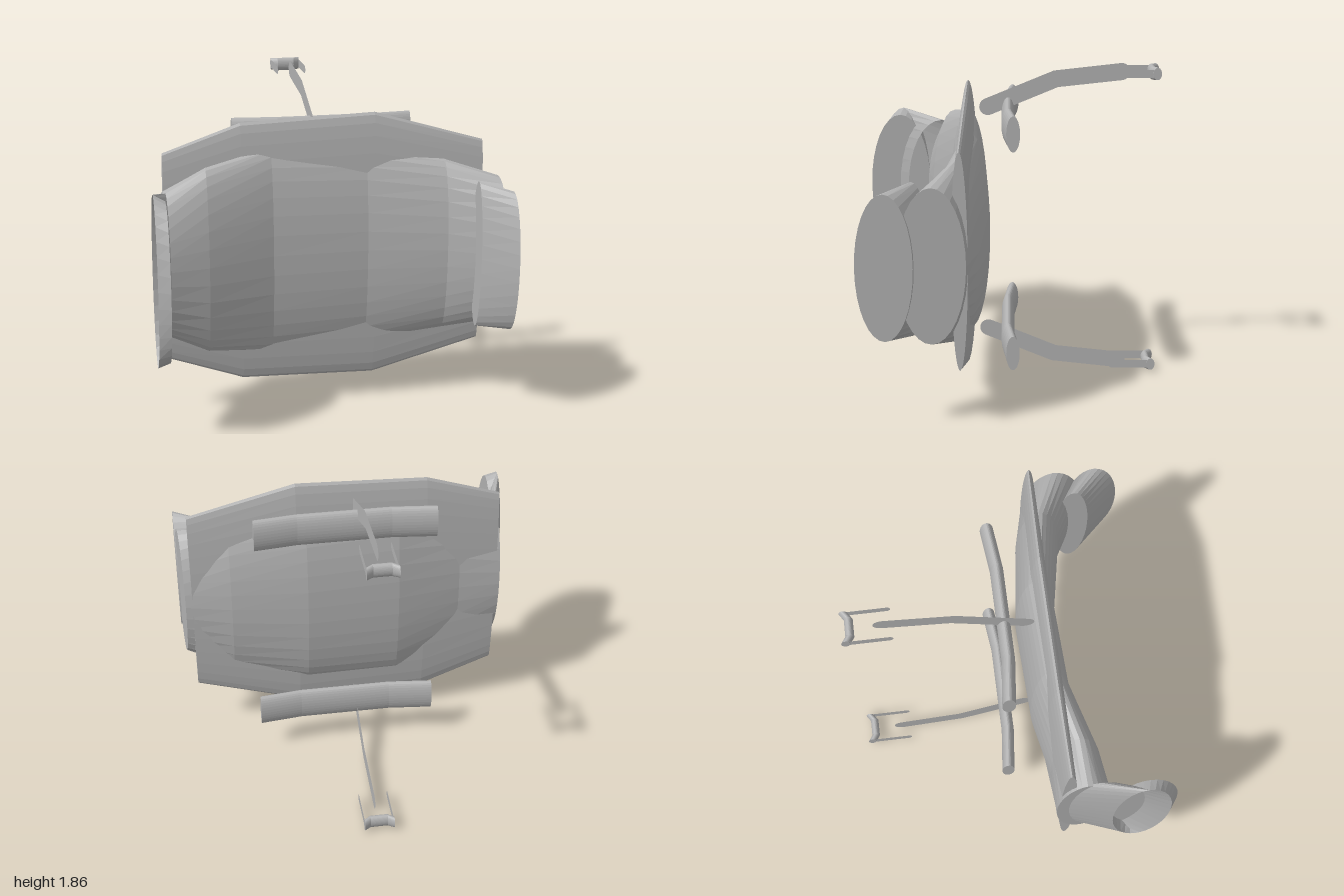
import * as THREE from 'three';

const MID = 0.93; // height of the horizontal mirror plane
const SIDES = 32;

// Loft of elliptical sections along x: [x, y, z, ry, rz, tilt]
function loft(sections, capStart = true, capEnd = true) {
  const pos = [], index = [];
  for (const [x, y, z, ry, rz, tilt = 0] of sections) {
    for (let j = 0; j < SIDES; j++) {
      const t = (j / SIDES) * Math.PI * 2;
      pos.push(x + tilt * Math.cos(t), y + ry * Math.sin(t), z + rz * Math.cos(t));
    }
  }
  for (let i = 0; i < sections.length - 1; i++) {
    for (let j = 0; j < SIDES; j++) {
      const k = (j + 1) % SIDES, a = i * SIDES, b = a + SIDES;
      index.push(a + j, b + j, b + k, a + j, b + k, a + k);
    }
  }
  const cap = (row, flip) => {
    const c = pos.length / 3, s = sections[row];
    pos.push(s[0], s[1], s[2]);
    for (let j = 0; j < SIDES; j++) {
      const p = row * SIDES + j, q = row * SIDES + ((j + 1) % SIDES);
      index.push(c, flip ? q : p, flip ? p : q);
    }
  };
  if (capStart) cap(0, false);
  if (capEnd) cap(sections.length - 1, true);
  const g = new THREE.BufferGeometry();
  g.setAttribute('position', new THREE.Float32BufferAttribute(pos, 3));
  g.setIndex(index);
  const flat = g.toNonIndexed();
  flat.computeVertexNormals();
  return flat;
}

// Flat round-ended strip in the side plane; path points are [z, y]
function strip(path, r) {
  const pts = path.map(([z, y]) => new THREE.Vector2(-z, y));
  const n = pts.length;
  const angle = (i) => {
    const a = pts[Math.max(i - 1, 0)], b = pts[Math.min(i + 1, n - 1)];
    return Math.atan2(b.y - a.y, b.x - a.x);
  };
  const out = [];
  const put = (i, a) => out.push(new THREE.Vector2(pts[i].x + r * Math.cos(a), pts[i].y + r * Math.sin(a)));
  const arc = (i, from) => {
    for (let k = 0; k <= 10; k++) put(i, from - (k / 10) * Math.PI);
  };
  for (let i = 1; i < n - 1; i++) put(i, angle(i) + Math.PI / 2);
  arc(n - 1, angle(n - 1) + Math.PI / 2);
  for (let i = n - 2; i > 0; i--) put(i, angle(i) - Math.PI / 2);
  arc(0, angle(0) - Math.PI / 2);
  return new THREE.ShapeGeometry(new THREE.Shape(out)).rotateY(Math.PI / 2);
}

export function createModel() {
  const model = new THREE.Group();
  const grey = new THREE.MeshStandardMaterial({ color: 0xb2b2b2, side: THREE.DoubleSide });
  grey.name = 'grey';
  const add = (name, geometry, x = 0) => {
    const m = new THREE.Mesh(geometry, grey);
    m.name = name;
    m.position.x = x;
    model.add(m);
  };

  // Curved main shell, thin in depth
  add('mainShell', loft([
    [-0.92, 0.925, 0.35, 0.42, 0.16, 0.01],
    [-0.68, 0.925, 0.33, 0.54, 0.14],
    [-0.3, 0.935, 0.235, 0.605, 0.115],
    [0.25, 0.93, 0.215, 0.58, 0.115],
    [0.7, 0.93, 0.285, 0.51, 0.13],
    [0.985, 0.93, 0.405, 0.43, 0.185, 0.014],
  ]));

  // Broad lens-shaped plate behind the shell
  add('backPlate', loft([
    [-0.91, 0.935, 0.257, 0.605, 0.045],
    [-0.47, 0.93, 0.24, 0.76, 0.06],
    [0.3, 0.935, 0.235, 0.785, 0.063],
    [0.93, 0.935, 0.257, 0.605, 0.045],
  ]));

  // Flared open collar on the -x end, with its rim
  add('rightCollar', loft([
    [-1, 0.93, 0.67, 0.49, 0.165],
    [-0.91, 0.925, 0.425, 0.43, 0.215],
  ], false, false));
  add('rightCollarRim', loft([
    [-1, 0.93, 0.67, 0.49, 0.165],
    [-0.935, 0.93, 0.69, 0.455, 0.19],
  ], false, true));

  // Slanted end piece on the +x end
  add('leftEndPiece', loft([
    [0.84, 0.93, 0.515, 0.43, 0.1],
    [1, 0.925, 0.655, 0.405, 0.155],
  ]));

  // Upper and lower rods, arms and grips
  for (const [s, side] of [[1, 'upper'], [-1, 'lower']]) {
    const y = (v) => MID + s * v;
    add(side + 'Rod', loft([
      [-0.48, y(0.63), -0.03, 0.1, 0.038],
      [-0.22, y(0.63), -0.003, 0.1, 0.038],
      [0.32, y(0.63), -0.003, 0.1, 0.038],
      [0.57, y(0.63), -0.03, 0.1, 0.038],
    ]));
    add(side + 'Arm', strip([[0.115, y(0.675)], [-0.28, y(0.838)], [-0.66, y(0.88)]], 0.05), -0.025);
    for (const dx of [-0.085, 0.085]) {
      add(side + 'ArmTip', strip([[-0.63, y(0.88)], [-0.855, y(0.88)]], 0.024), -0.025 + dx);
    }
    add(side + 'Grip', loft([
      [-0.112, y(0.88), -0.86, 0.036, 0.024],
      [-0.075, y(0.88), -0.835, 0.039, 0.024],
      [0.025, y(0.88), -0.835, 0.039, 0.024],
      [0.062, y(0.88), -0.86, 0.036, 0.024],
    ]));
  }
  return model;
}
